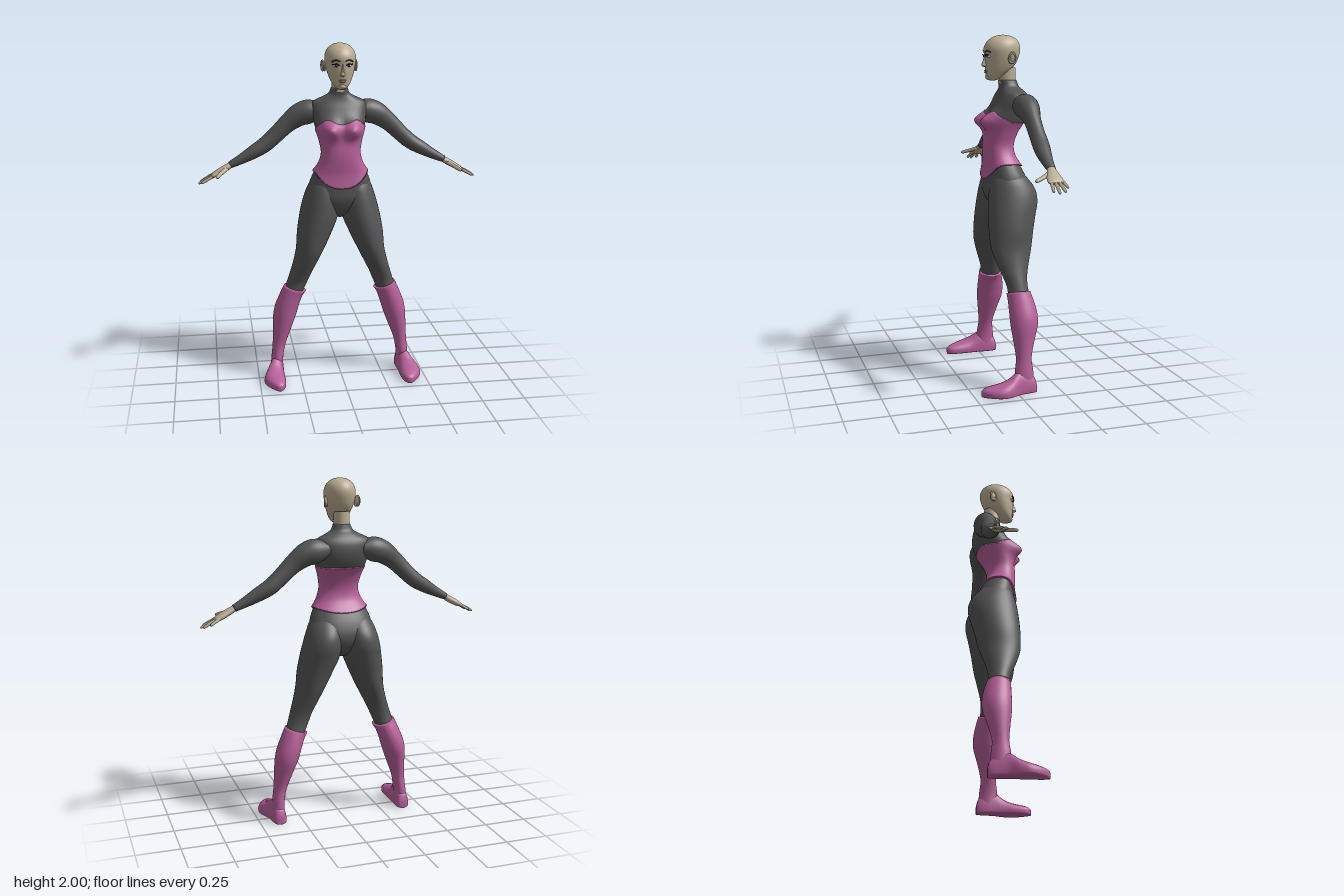
import * as THREE from 'three';

const mat = (color) => new THREE.MeshStandardMaterial({ color });
const suit = mat(0x555555), pink = mat(0xb8609a), skin = mat(0xbcae94);
const dark = mat(0x2a221c), white = mat(0xe4e0d8), lipTone = mat(0xb09080), browTone = mat(0x4a3c18);

// Smooth lookup in a table whose rows are sorted by their first column
function at(rows, k) {
  let i = 0;
  while (i < rows.length - 2 && k > rows[i + 1][0]) i++;
  const a = rows[i], b = rows[i + 1], h = b[0] - a[0];
  const t = Math.min(1, Math.max(0, (k - a[0]) / h));
  const p = rows[Math.max(i - 1, 0)], n = rows[Math.min(i + 2, rows.length - 1)];
  return a.map((v, c) => {
    const m0 = (b[c] - p[c]) / (b[0] - p[0]) * h, m1 = (n[c] - v) / (n[0] - a[0]) * h;
    const t2 = t * t, t3 = t2 * t;
    return (2 * t3 - 3 * t2 + 1) * v + (t3 - 2 * t2 + t) * m0 + (3 * t2 - 2 * t3) * b[c] + (t3 - t2) * m1;
  });
}

// Row keys with extra steps between them
function keys(rows, steps) {
  const out = [];
  for (let i = 0; i < rows.length - 1; i++)
    for (let j = 0; j < steps; j++) out.push(rows[i][0] + (rows[i + 1][0] - rows[i][0]) * j / steps);
  return [...out, rows[rows.length - 1][0]];
}

// Closed skin over rings of points; fn(key, angle) gives a point [x, y, z]
function skinOver(ks, fn, n = 24) {
  const pos = [], idx = [];
  for (const k of ks) for (let j = 0; j < n; j++) pos.push(...fn(k, j / n * Math.PI * 2));
  const last = ks.length - 1;
  for (let i = 0; i < last; i++) for (let j = 0; j < n; j++) {
    const a = i * n + j, b = i * n + (j + 1) % n;
    idx.push(a, a + n, b, b, a + n, b + n);
  }
  for (const r of [0, last]) {
    const c = [0, 0, 0], id = pos.length / 3;
    for (let j = 0; j < n; j++) for (let d = 0; d < 3; d++) c[d] += pos[(r * n + j) * 3 + d] / n;
    pos.push(...c);
    for (let j = 0; j < n; j++) {
      const a = r * n + j, b = r * n + (j + 1) % n;
      if (r) idx.push(a, id, b); else idx.push(b, id, a);
    }
  }
  // Turn the faces outward if the enclosed volume is negative
  let vol = 0;
  const P = (i) => new THREE.Vector3().fromArray(pos, i * 3);
  for (let i = 0; i < idx.length; i += 3) vol += P(idx[i]).dot(P(idx[i + 1]).cross(P(idx[i + 2])));
  if (vol < 0) idx.reverse();
  const g = new THREE.BufferGeometry();
  g.setAttribute('position', new THREE.Float32BufferAttribute(pos, 3));
  g.setIndex(idx);
  g.computeVertexNormals();
  return g;
}

const pw = (v, e) => Math.sign(v) * Math.abs(v) ** e;

// Limb along x: rows [x, y, z, radius across in the xy plane, radius in depth]
function limb(rows, s, n = 16, steps = 4) {
  return skinOver(keys(rows, steps), (k, a) => {
    const [x, y, z, r, d] = at(rows, k), e = 0.004;
    const p = at(rows, Math.max(k - e, rows[0][0])), q = at(rows, Math.min(k + e, rows[rows.length - 1][0]));
    const t = new THREE.Vector3(q[0] - p[0], q[1] - p[1], q[2] - p[2]).normalize();
    const u = new THREE.Vector3(-t.y, t.x, 0).normalize(), v = t.clone().cross(u);
    const o = u.multiplyScalar(r * Math.cos(a)).addScaledVector(v, d * Math.sin(a));
    return [s * (x + o.x), y + o.y, z + o.z];
  }, n);
}

// Upright part: rows [y, x inner, x outer, z front, z back, tilt]
function upright(rows, s, n = 28) {
  return skinOver(keys(rows, 4), (k, a) => {
    const [y, xi, xo, zf, zb, tilt = 0] = at(rows, k);
    return [s * ((xi + xo) / 2 + (xo - xi) / 2 * Math.cos(a)), y + tilt * Math.cos(a),
      (zf + zb) / 2 + (zf - zb) / 2 * Math.sin(a)];
  }, n);
}

// Torso rows: y, half width, z front, z back
const torso = [
  [0.985, 0.02, -0.03, -0.09], [1.02, 0.09, 0.03, -0.14], [1.1, 0.185, 0.07, -0.18],
  [1.18, 0.183, 0.072, -0.165], [1.26, 0.155, 0.07, -0.125], [1.32, 0.124, 0.074, -0.095],
  [1.38, 0.11, 0.074, -0.09], [1.45, 0.122, 0.066, -0.115], [1.52, 0.143, 0.06, -0.16],
  [1.58, 0.155, 0.035, -0.18], [1.63, 0.162, 0.01, -0.18], [1.665, 0.15, -0.008, -0.168],
  [1.69, 0.1, -0.016, -0.148], [1.71, 0.064, -0.018, -0.128], [1.745, 0.047, -0.012, -0.117]];

function torsoPoint(y, a, grow = 0) {
  const [, w, zf, zb] = at(torso, y), c = Math.cos(a), s = Math.sin(a);
  const x = (w + grow) * pw(c, 0.88);
  const bust = Math.max(s, 0) ** 0.5 * 0.062 * Math.exp(-(((Math.abs(x) - 0.07) / 0.05) ** 2) - ((y - 1.515) / 0.048) ** 2);
  return [x, y, (zf + zb) / 2 + ((zf - zb) / 2 + grow) * pw(s, 0.88) + bust];
}

const leg = [
  [0.52, 0.232, 0.345, 0.016, -0.11], [0.59, 0.2, 0.322, 0.02, -0.1], [0.65, 0.175, 0.303, 0.04, -0.105],
  [0.72, 0.14, 0.282, 0.066, -0.125], [0.8, 0.1, 0.264, 0.088, -0.15], [0.9, 0.052, 0.256, 0.092, -0.17],
  [0.98, 0.018, 0.243, 0.09, -0.19], [1.05, 0.004, 0.228, 0.084, -0.207], [1.12, 0, 0.208, 0.074, -0.198],
  [1.19, 0.01, 0.18, 0.055, -0.15], [1.24, 0.04, 0.14, 0.02, -0.09]];
const boot = [
  [0.04, 0.35, 0.428, 0.01, -0.1], [0.12, 0.35, 0.421, 0.012, -0.095], [0.2, 0.335, 0.413, 0.002, -0.088],
  [0.3, 0.298, 0.409, 0.012, -0.112], [0.38, 0.268, 0.405, 0.021, -0.136], [0.44, 0.25, 0.393, 0.023, -0.138],
  [0.51, 0.228, 0.362, 0.023, -0.125, 0.008], [0.555, 0.207, 0.336, 0.024, -0.112, 0.02]]
  .map((r) => [...r, 0].slice(0, 6));
// Foot rows: z, x centre, half width, height
const foot = [
  [-0.112, 0.388, 0.02, 0.05], [-0.1, 0.388, 0.035, 0.085], [-0.05, 0.39, 0.042, 0.12], [0, 0.396, 0.046, 0.125],
  [0.05, 0.408, 0.058, 0.092], [0.1, 0.411, 0.063, 0.072], [0.15, 0.403, 0.052, 0.06], [0.19, 0.393, 0.032, 0.048],
  [0.208, 0.39, 0.012, 0.034]];
const arm = [
  [0.1, 1.61, -0.108, 0.045, 0.06], [0.17, 1.602, -0.115, 0.07, 0.07], [0.23, 1.583, -0.115, 0.066, 0.064],
  [0.3, 1.533, -0.112, 0.053, 0.047], [0.37, 1.467, -0.112, 0.047, 0.044], [0.43, 1.415, -0.112, 0.045, 0.046],
  [0.5, 1.373, -0.105, 0.039, 0.042], [0.57, 1.335, -0.1, 0.029, 0.032], [0.635, 1.303, -0.098, 0.02, 0.024]];
const palm = [
  [0.625, 1.308, -0.098, 0.017, 0.021], [0.66, 1.287, -0.094, 0.019, 0.03], [0.7, 1.265, -0.09, 0.018, 0.042],
  [0.73, 1.249, -0.088, 0.014, 0.044], [0.742, 1.243, -0.088, 0.008, 0.038]];
// Finger lines: base, middle, tip
const fingers = {
  littleFinger: [[0.715, 1.257, -0.122], [0.745, 1.24, -0.13], [0.775, 1.222, -0.139]],
  ringFinger: [[0.725, 1.251, -0.103], [0.77, 1.23, -0.107], [0.81, 1.206, -0.112]],
  middleFinger: [[0.727, 1.25, -0.083], [0.775, 1.227, -0.08], [0.82, 1.201, -0.077]],
  indexFinger: [[0.72, 1.252, -0.063], [0.765, 1.23, -0.056], [0.803, 1.208, -0.049]],
  thumb: [[0.655, 1.285, -0.078], [0.69, 1.267, -0.03], [0.716, 1.252, 0.018]]};

// Head rows: y, half width, z front, z back
const head = [
  [1.742, 0.012, 0.04, 0.01], [1.75, 0.028, 0.054, -0.01], [1.77, 0.046, 0.063, -0.035], [1.8, 0.063, 0.066, -0.078],
  [1.84, 0.077, 0.07, -0.113], [1.88, 0.086, 0.071, -0.13], [1.92, 0.089, 0.075, -0.138], [1.955, 0.08, 0.061, -0.131],
  [1.98, 0.059, 0.035, -0.11], [1.994, 0.033, 0.004, -0.08], [2, 0.004, -0.034, -0.042]];

export function createModel() {
  const model = new THREE.Group();
  const add = (name, geo, m) => {
    const mesh = new THREE.Mesh(geo, m);
    mesh.name = name;
    model.add(mesh);
    return mesh;
  };
  const ball = (name, m, p, r) => {
    const b = add(name, new THREE.SphereGeometry(1, 20, 14), m);
    b.position.set(...p);
    b.scale.set(...r);
    return b;
  };
  const line = (name, m, pts, r) => add(name, new THREE.TubeGeometry(
    new THREE.CatmullRomCurve3(pts.map((p) => new THREE.Vector3(...p))), 12, r, 6), m);

  add('torso', skinOver(keys(torso, 5), torsoPoint, 64), suit);

  // Corset follows the torso, with a sweetheart top and pointed lower edge
  const levels = Array.from({ length: 41 }, (_, i) => i / 40);
  add('corset', skinOver(levels, (v, a) => {
    const s = Math.sin(a), f = Math.max(s, 0), x = Math.abs(0.15 * Math.cos(a));
    const top = 1.505 + 0.04 * f ** 0.5 + 0.032 * f ** 0.5 * Math.exp(-(((x - 0.075) / 0.045) ** 2));
    const low = 1.27 - 0.092 * f ** 3 - 0.025 * Math.max(-s, 0) ** 3;
    return torsoPoint(low + (top - low) * v, a, 0.005 + 0.008 * (1 - v) ** 8);
  }, 64), pink);

  // Head and neck
  add('head', skinOver(keys(head, 4), (k, a) => {
    const [y, w, zf, zb] = at(head, k);
    return [w * Math.cos(a), y, (zf + zb) / 2 + (zf - zb) / 2 * Math.sin(a)];
  }, 40), skin);
  const neck = add('neck', new THREE.CylinderGeometry(0.044, 0.046, 0.09, 28), skin);
  neck.position.set(0, 1.77, -0.063);
  neck.scale.z = 1.12;

  // Face
  const nose = [[1.818, 0.008, 0.074], [1.825, 0.016, 0.09], [1.84, 0.011, 0.088], [1.865, 0.007, 0.079], [1.89, 0.006, 0.073]];
  add('nose', skinOver(keys(nose, 4), (k, a) => {
    const [y, w, zf] = at(nose, k);
    return [w * Math.cos(a), y, 0.055 + (zf - 0.055) * Math.sin(a)];
  }, 16), skin);
  ball('upperLip', lipTone, [0, 1.798, 0.064], [0.021, 0.005, 0.011]);
  ball('lowerLip', lipTone, [0, 1.789, 0.061], [0.018, 0.006, 0.012]);
  ball('chin', skin, [0, 1.762, 0.047], [0.023, 0.017, 0.02]);

  for (const s of [1, -1]) {
    const side = s > 0 ? 'left' : 'right';
    ball(side + 'Eye', white, [s * 0.036, 1.879, 0.055], [0.016, 0.009, 0.013]);
    ball(side + 'Iris', dark, [s * 0.036, 1.879, 0.064], [0.007, 0.008, 0.006]);
    line(side + 'Lashes', dark, [[s * 0.018, 1.88, 0.071], [s * 0.034, 1.889, 0.073], [s * 0.05, 1.886, 0.066], [s * 0.058, 1.887, 0.06]], 0.0032);
    line(side + 'Brow', browTone, [[s * 0.014, 1.902, 0.073], [s * 0.038, 1.91, 0.067], [s * 0.06, 1.9, 0.052]], 0.0038);
    const ear = ball(side + 'Ear', skin, [s * 0.09, 1.868, -0.06], [0.009, 0.031, 0.019]);
    ear.rotation.set(-0.15, s * -0.35, s * -0.15);
    const rim = add(side + 'EarRim', new THREE.TorusGeometry(0.018, 0.0045, 8, 20), skin);
    rim.position.set(s * 0.097, 1.87, -0.063);
    rim.rotation.set(0, s * (Math.PI / 2 - 0.35), 0);
    rim.scale.set(1, 1.5, 1);

    // Arms and hands
    add(side + 'Arm', limb(arm, s, 28, 5), suit);
    add(side + 'Palm', limb(palm, s, 20), skin);
    for (const [name, pts] of Object.entries(fingers)) {
      const r = name === 'thumb' ? 0.0125 : 0.0095;
      const tip = pts[1].map((v, i) => v + (pts[2][i] - v) * 0.85);
      const rows = [[...pts[0], r, r], [...pts[1], r * 0.92, r * 0.92], [...tip, r * 0.75, r * 0.75], [...pts[2], r * 0.25, r * 0.25]];
      add(side + name[0].toUpperCase() + name.slice(1), limb(rows, s, 10), skin);
    }

    // Legs and boots
    add(side + 'Leg', upright(leg, s, 36), suit);
    add(side + 'BootShaft', upright(boot, s, 32), pink);
    add(side + 'BootFoot', skinOver(keys(foot, 4), (k, a) => {
      const [z, x, w, h] = at(foot, k), up = Math.sin(a);
      const y = up > 0 ? 0.025 + (h - 0.025) * up : 0.025 + 0.025 * pw(up, 0.4);
      return [s * (x + w * pw(Math.cos(a), up > 0 ? 0.9 : 0.5)), y, z];
    }, 32), pink);
  }
  return model;
}
